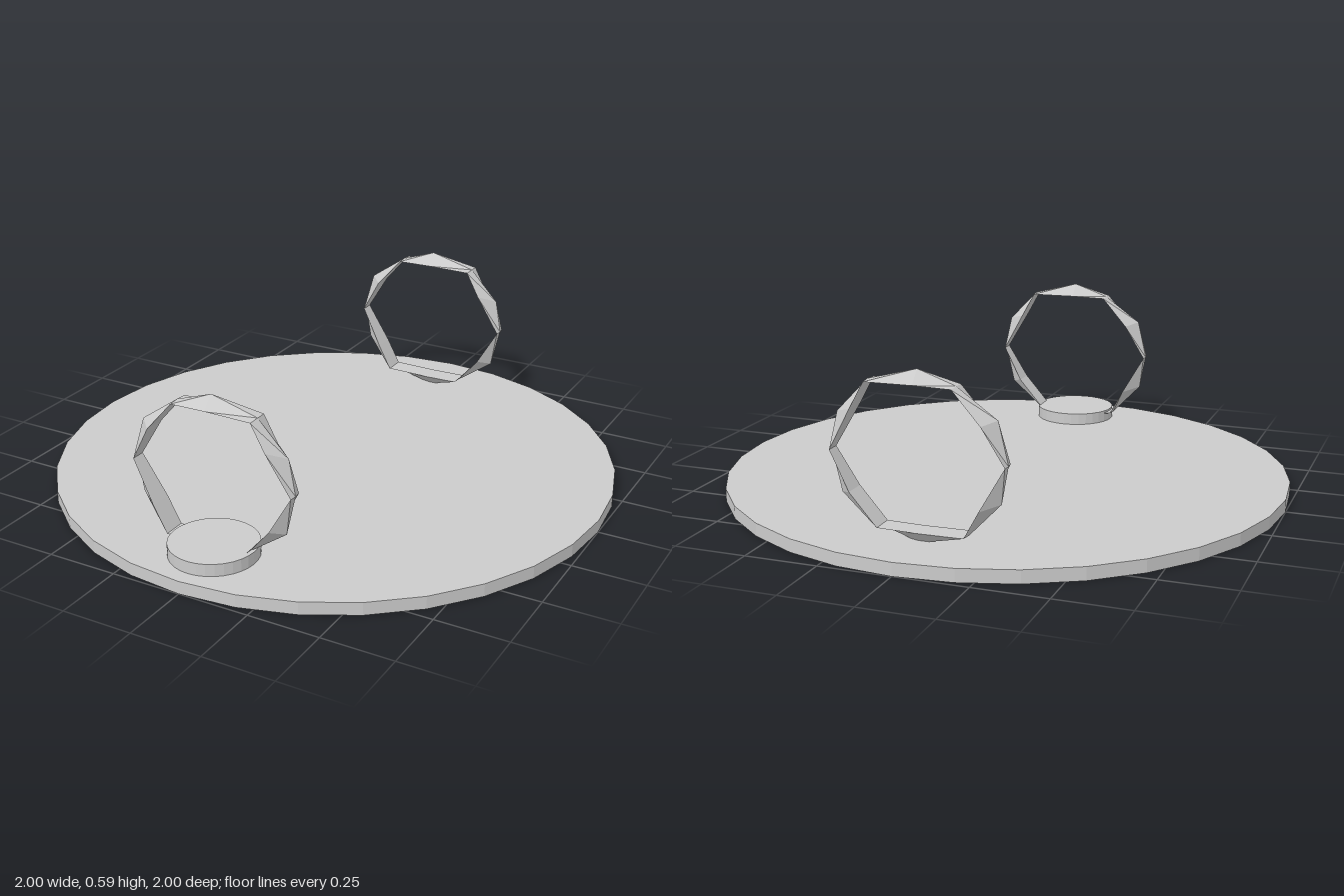
import * as THREE from 'three';

const material = new THREE.MeshStandardMaterial({ color: 0xcccccc, flatShading: true, side: THREE.DoubleSide });

// Half of the ring: outer ridge x, y, inner edge x, y, half depth of the inner edge
const HALF_RING = [
  [0.295, 0, 0.292, 0, 0.025],
  [0.273, 0.122, 0.212, 0.142, 0.04],
  [0.166, 0.234, 0.163, 0.232, 0.04],
  [0, 0.278, 0, 0.234, 0.04],
  [-0.128, 0.234, -0.127, 0.232, 0.04],
  [-0.262, 0.14, -0.22, 0.126, 0.04],
];

// Faceted ring with a three-sided section; the second half is the first turned by 180 degrees
function ringGeometry() {
  const positions = [];
  const index = [];
  for (const s of [1, -1]) {
    for (const [ox, oy, ix, iy, w] of HALF_RING) {
      positions.push(s * ox, s * oy, 0, s * ix, s * iy, w, s * ix, s * iy, -w);
    }
  }
  const count = HALF_RING.length * 2;
  for (let i = 0; i < count; i++) {
    const n = (i + 1) % count;
    for (let k = 0; k < 3; k++) {
      const a = i * 3 + k;
      const b = n * 3 + k;
      const c = n * 3 + (k + 1) % 3;
      const d = i * 3 + (k + 1) % 3;
      index.push(a, b, c, a, c, d);
    }
  }
  const geometry = new THREE.BufferGeometry();
  geometry.setAttribute('position', new THREE.Float32BufferAttribute(positions, 3));
  geometry.setIndex(index);
  geometry.computeVertexNormals();
  return geometry;
}

export function createModel() {
  const model = new THREE.Group();
  model.name = 'discWithRings';

  function add(name, geometry, y, z) {
    const mesh = new THREE.Mesh(geometry, material);
    mesh.name = name;
    mesh.position.set(0, y, z);
    model.add(mesh);
  }

  // Large base disc and the small pad on its front edge
  add('baseDisc', new THREE.CylinderGeometry(1, 1, 0.045, 32), 0.0225, 0);
  add('frontPad', new THREE.CylinderGeometry(0.15, 0.15, 0.045, 32), 0.0655, 0.797);

  // Two upright rings facing each other across the disc
  const ring = ringGeometry();
  add('frontRing', ring, 0.313, 0.782);
  add('backRing', ring, 0.313, -0.79);

  return model;
}
